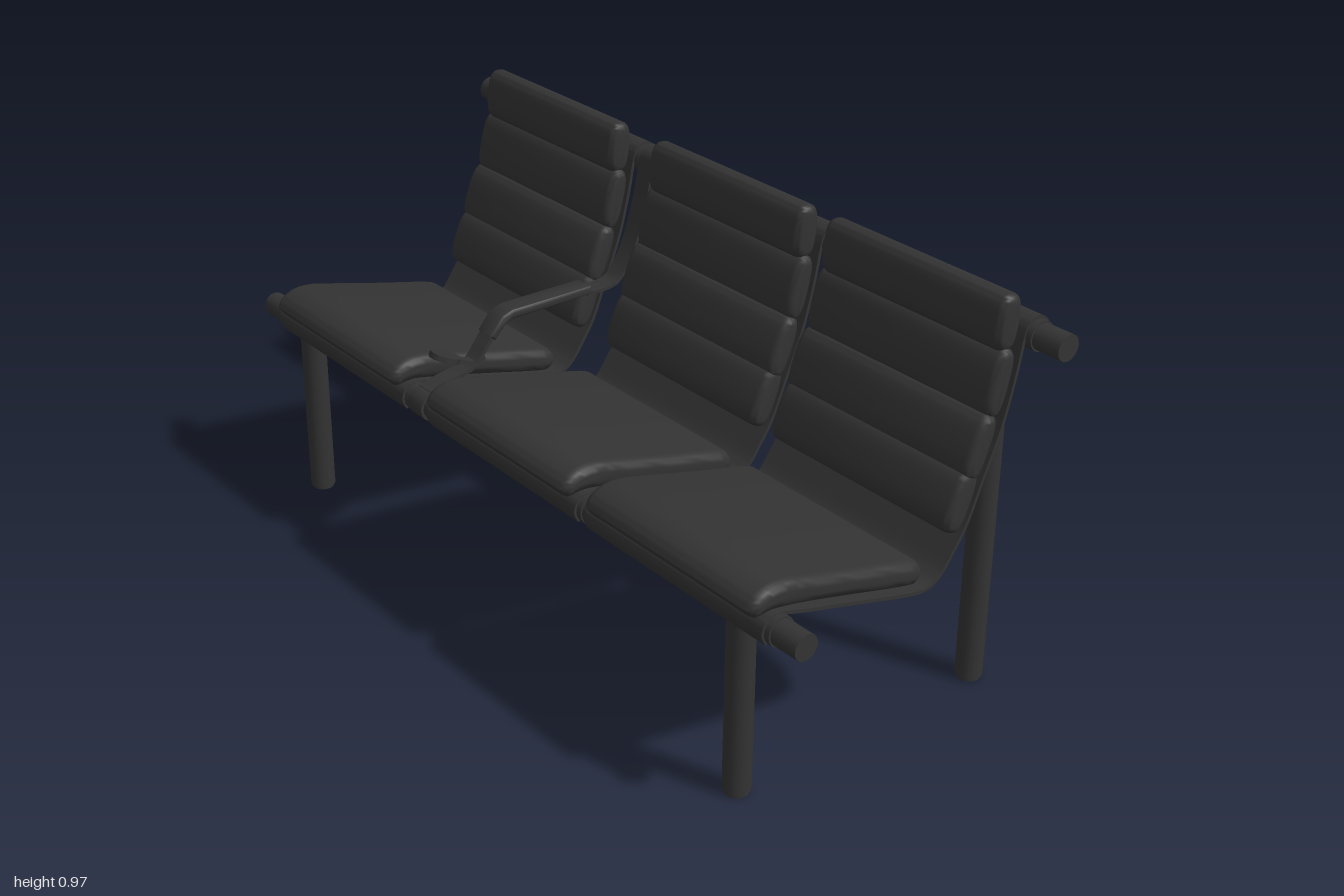
import * as THREE from 'three';
import { toCreasedNormals } from 'three/addons/utils/BufferGeometryUtils.js';

const dark = new THREE.MeshStandardMaterial({ color: 0x333333 });
const V = (p) => new THREE.Vector2(p[0], p[1]);

function add(parent, name, geometry, x = 0, y = 0, z = 0) {
  const mesh = new THREE.Mesh(geometry, dark);
  mesh.name = name;
  mesh.position.set(x, y, z);
  parent.add(mesh);
  return mesh;
}

// Extrudes a side outline of (z, y) points across x, with edges rounded by r
function across(outline, width, r = 0) {
  const g = new THREE.ExtrudeGeometry(new THREE.Shape(outline), {
    depth: width - 2 * r, bevelEnabled: r > 0, bevelSize: r, bevelThickness: r,
    bevelOffset: -r, bevelSegments: 4, curveSegments: 1,
  });
  g.translate(0, 0, r - width / 2);
  g.rotateY(-Math.PI / 2);
  return toCreasedNormals(g, 0.8);
}

// Thin bent sheet that follows a side path of (z, y) points
function sheet(path, thickness, width, samples = 48) {
  const curve = new THREE.SplineCurve(path.map(V));
  const a = [], b = [];
  for (let i = 0; i <= samples; i++) {
    const p = curve.getPoint(i / samples);
    const t = curve.getTangent(i / samples);
    const n = new THREE.Vector2(-t.y, t.x).multiplyScalar(thickness / 2);
    a.push(p.clone().add(n));
    b.unshift(p.clone().sub(n));
  }
  return across([...a, ...b], width);
}

// Plump pad with a superellipse section lying between two (z, y) ends
function pad(from, to, half, width) {
  const a = V(from), b = V(to);
  const mid = a.clone().add(b).multiplyScalar(0.5);
  const axis = b.clone().sub(a).multiplyScalar(0.5);
  const side = new THREE.Vector2(-axis.y, axis.x).normalize().multiplyScalar(half);
  const soft = (v) => Math.sign(v) * Math.abs(v) ** 0.72;
  const pts = [];
  for (let i = 0; i < 32; i++) {
    const t = (i / 32) * Math.PI * 2;
    pts.push(mid.clone().addScaledVector(axis, soft(Math.cos(t))).addScaledVector(side, soft(Math.sin(t))));
  }
  return across(pts, width, 0.018);
}

function rod(radius, length, alongX = false, sides = 16) {
  const g = new THREE.CylinderGeometry(radius, radius, length, sides);
  if (alongX) g.rotateZ(Math.PI / 2);
  return toCreasedNormals(g, 0.8);
}

const FRONT = { y: 0.447, z: 0.33 }, BACK = { y: 0.878, z: -0.35 };

// Seat shell hooks over the front rail, sags, rises and hooks over the back rail
const shellPath = [
  [0.355, 0.422], [0.366, 0.447], [0.354, 0.472], [0.32, 0.478], [0.25, 0.458], [0.1, 0.418], [-0.02, 0.386],
  [-0.08, 0.377], [-0.12, 0.395], [-0.155, 0.44], [-0.19, 0.495], [-0.225, 0.58], [-0.27, 0.69],
  [-0.3, 0.8], [-0.316, 0.88], [-0.33, 0.908], [-0.355, 0.915], [-0.378, 0.9], [-0.384, 0.88],
];
const seatOutline = new THREE.SplineCurve([
  [0.386, 0.495], [0.372, 0.518], [0.335, 0.534], [0.29, 0.533], [0.24, 0.521], [0.1, 0.484], [-0.05, 0.446],
  [-0.078, 0.43], [-0.086, 0.408], [-0.07, 0.388], [-0.04, 0.388], [0.1, 0.424], [0.25, 0.462],
  [0.33, 0.476], [0.37, 0.474], [0.386, 0.495],
].map(V)).getPoints(60).slice(0, -1);
const backPads = [
  ['headPad', [-0.285, 0.848], [-0.298, 0.972], 0.031, 0.53],
  ['upperBackPad', [-0.252, 0.712], [-0.288, 0.857], 0.027, 0.55],
  ['middleBackPad', [-0.2, 0.585], [-0.25, 0.722], 0.028, 0.555],
  ['lowerBackPad', [-0.156, 0.475], [-0.208, 0.605], 0.03, 0.55],
];

function makeSeat(x) {
  const seat = new THREE.Group();
  seat.name = 'seat';
  seat.position.x = x;
  add(seat, 'shell', sheet(shellPath, 0.008, 0.562, 90));
  add(seat, 'seatCushion', across(seatOutline, 0.54, 0.022));
  for (const [name, from, to, half, width] of backPads) add(seat, name, pad(from, to, half, width));
  return seat;
}

function makeArmrest(x) {
  const arm = new THREE.Group();
  arm.name = 'armrest';
  arm.position.x = x;
  // Strap from the back rail down the gap and forward under the arm pad
  add(arm, 'rearStrap', sheet([
    [-0.38, 0.885], [-0.355, 0.916], [-0.325, 0.905], [-0.313, 0.86], [-0.298, 0.79],
    [-0.265, 0.69], [-0.225, 0.625], [-0.19, 0.606], [-0.12, 0.605],
  ], 0.008, 0.05));
  add(arm, 'armPad', across([
    [-0.133, 0.605], [-0.128, 0.625], [0.1, 0.627], [0.13, 0.618], [0.165, 0.576],
    [0.153, 0.564], [0.122, 0.597], [0.1, 0.604],
  ].map(V), 0.056, 0.005));
  // Front strap curving down to the front rail
  add(arm, 'frontStrap', sheet([
    [0.14, 0.595], [0.175, 0.55], [0.205, 0.515], [0.24, 0.5], [0.29, 0.492], [0.335, 0.48],
  ], 0.01, 0.045));
  // Small tilted dish on its stem
  add(arm, 'dishStem', sheet([[0.175, 0.52], [0.21, 0.518], [0.25, 0.535], [0.3, 0.555]], 0.009, 0.03));
  const dish = add(arm, 'dish', rod(0.037, 0.014, false, 20), 0, 0.549, 0.278);
  dish.rotation.x = -0.38;
  for (const [name, rail] of [['frontClamp', FRONT], ['backClamp', BACK]]) {
    add(arm, name, rod(0.037, 0.056, true), 0, rail.y, rail.z);
  }
  return arm;
}

export function createModel() {
  const bench = new THREE.Group();
  bench.name = 'threeSeatBench';

  // Rails and legs
  for (const [side, rail] of [['front', FRONT], ['back', BACK]]) {
    add(bench, side + 'Rail', rod(0.03, 2, true), 0, rail.y, rail.z);
    for (const x of [-0.817, 0.813]) {
      add(bench, side + 'Leg', rod(0.031, rail.y - 0.008), x, rail.y / 2 + 0.004, rail.z);
      add(bench, side + 'Foot', rod(0.027, 0.01), x, 0.005, rail.z);
    }
    // Collars holding the shell edges on the rail
    for (const x of [-0.627, 0.037, 0.635]) {
      for (const s of [-1, 1]) add(bench, side + 'Collar', rod(0.034, 0.03, true), x + s * 0.28, rail.y, rail.z);
    }
  }

  for (const x of [-0.627, 0.037, 0.635]) bench.add(makeSeat(x));
  bench.add(makeArmrest(-0.3));
  return bench;
}
